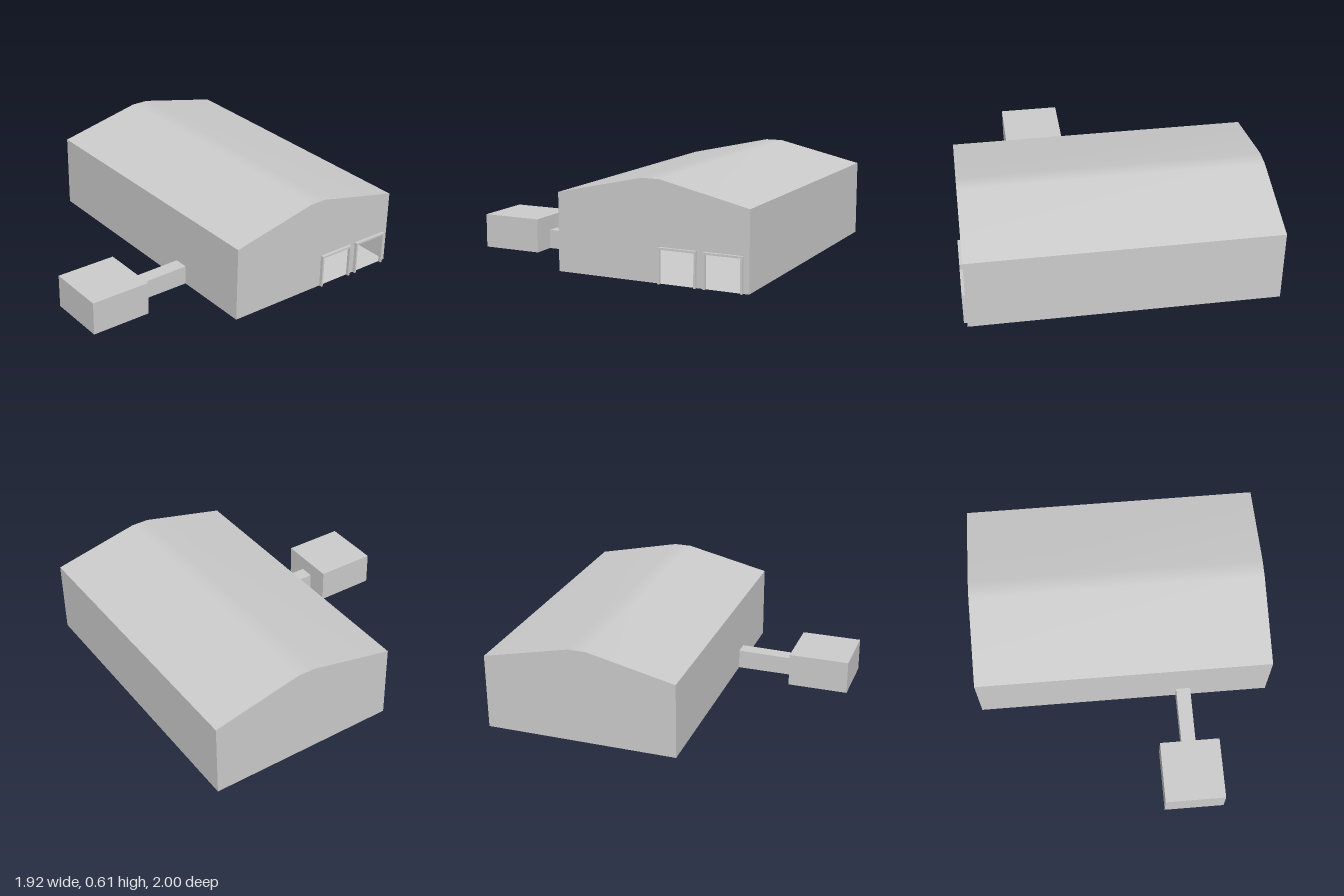
import * as THREE from 'three';

const X0 = -0.96, X1 = 0.94, FRONT = 0.225, BACK = -1, EAVE = 0.48, RIDGE = 0.605;
const DOORS = [[-0.44, -0.68], [-0.725, -0.965]]; // z range of each doorway frame
const DOOR_H = 0.215, TRIM = 0.012, TRIM_OUT = 0.02;

// hall cross-section as [z, y]: front foot, front eave, ridge, back eave, back foot
const PROFILE = [[FRONT, 0], [FRONT, EAVE], [-0.33, RIDGE], [-0.445, RIDGE], [BACK, EAVE], [BACK, 0]];

export function createModel() {
  const model = new THREE.Group();
  const mat = new THREE.MeshStandardMaterial({ color: 0xcccccc, side: THREE.DoubleSide });

  function add(name, geometry, parent = model) {
    const mesh = new THREE.Mesh(geometry, mat);
    mesh.name = name;
    parent.add(mesh);
    return mesh;
  }

  function box(name, x0, x1, y0, y1, z0, z1, parent) {
    const g = new THREE.BoxGeometry(x1 - x0, y1 - y0, z1 - z0);
    g.translate((x0 + x1) / 2, (y0 + y1) / 2, (z0 + z1) / 2);
    return add(name, g, parent);
  }

  // sheet spanning the hall's length along a run of [z, y] points
  function sheet(name, points, parent) {
    const pos = [], idx = [];
    points.forEach(([z, y], i) => {
      pos.push(X0, y, z, X1, y, z);
      const a = i * 2;
      if (i < points.length - 1) idx.push(a, a + 1, a + 3, a, a + 3, a + 2);
    });
    const g = new THREE.BufferGeometry();
    g.setAttribute('position', new THREE.Float32BufferAttribute(pos, 3));
    g.setIndex(idx);
    g.computeVertexNormals();
    return add(name, g, parent);
  }

  // gable end wall; side +1 faces +x, -1 faces -x; doorways are cut from the foot
  function gable(name, side, x, doors, parent) {
    const outline = [...PROFILE];
    for (const [zf, zb] of [...doors].reverse()) {
      const f = zf - TRIM, b = zb + TRIM, h = DOOR_H - TRIM;
      outline.push([b, 0], [b, h], [f, h], [f, 0]);
    }
    const shape = new THREE.Shape(outline.map(([z, y]) => new THREE.Vector2(-side * z, y)));
    const g = new THREE.ShapeGeometry(shape);
    g.rotateY(side * Math.PI / 2);
    g.translate(x, 0, 0);
    add(name, g, parent);
  }

  // hollow main hall
  const hall = new THREE.Group();
  hall.name = 'hall';
  model.add(hall);
  sheet('frontWall', PROFILE.slice(0, 2), hall);
  sheet('roof', PROFILE.slice(1, 5), hall);
  sheet('backWall', PROFILE.slice(4), hall);
  sheet('floor', [PROFILE[5], PROFILE[0]], hall);
  gable('leftGable', 1, X1, DOORS, hall);
  gable('rightGable', -1, X0, [], hall);

  // raised trim around each doorway
  for (const [zf, zb] of DOORS) {
    const frame = new THREE.Group();
    frame.name = 'doorFrame';
    model.add(frame);
    const out = X1 + TRIM_OUT, h = DOOR_H - TRIM;
    box('frontJamb', X1, out, 0, h, zf - TRIM, zf, frame);
    box('backJamb', X1, out, 0, h, zb, zb + TRIM, frame);
    box('lintel', X1, out, h, DOOR_H, zb, zf, frame);
  }

  // small outbuilding in front
  box('annex', 0.19, 0.575, 0, DOOR_H, 0.61, 1);

  // covered passage, its top rising slightly toward the hall
  const passage = box('passage', 0.335, 0.428, 0, 0.12, FRONT, 0.61);
  const p = passage.geometry.attributes.position;
  for (let i = 0; i < p.count; i++) {
    if (p.getY(i) > 0.1 && p.getZ(i) < 0.4) p.setY(i, 0.125);
  }
  passage.geometry.computeVertexNormals();

  return model;
}
